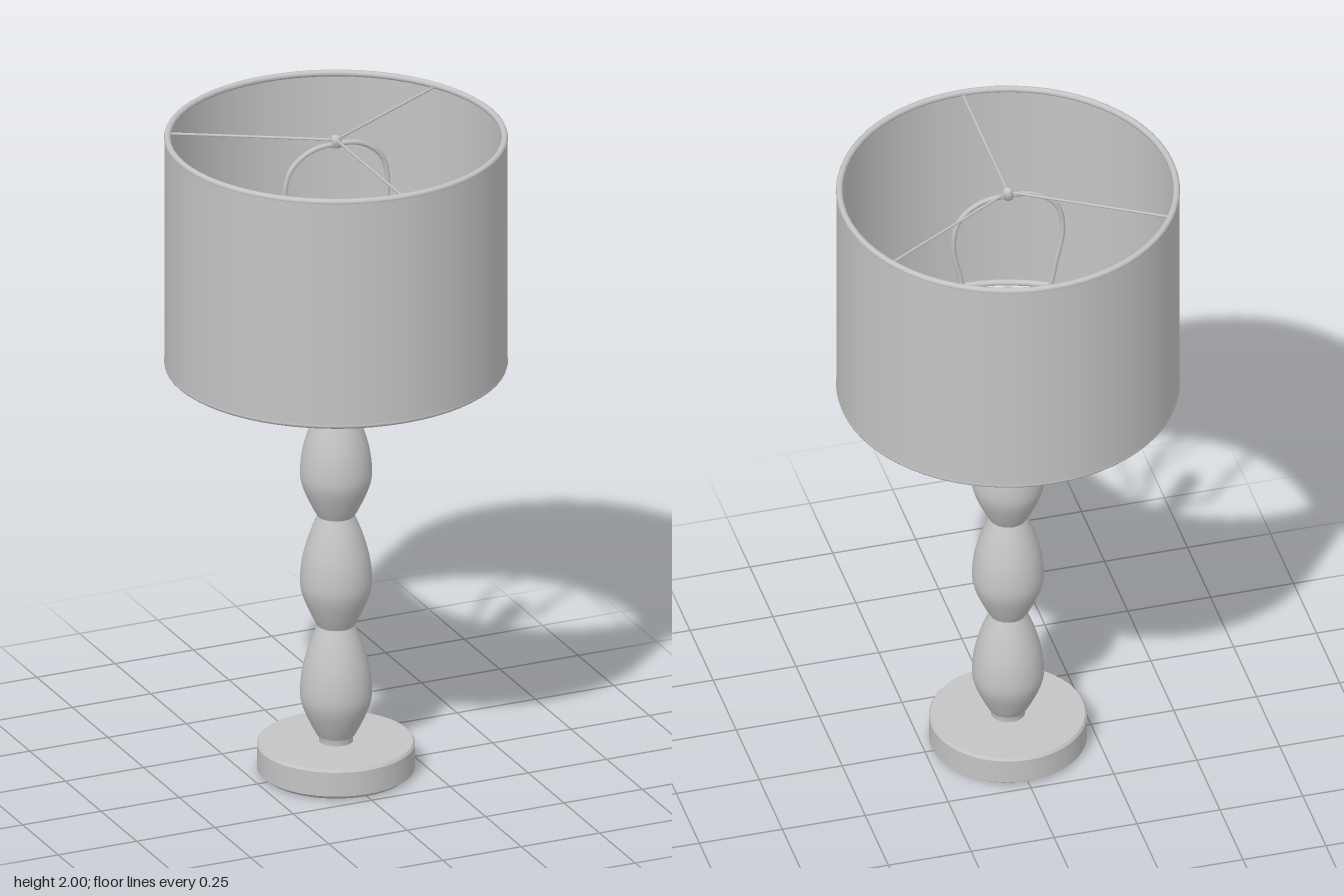
import * as THREE from 'three';

const metal = new THREE.MeshStandardMaterial({ color: 0xc4c4c4, side: THREE.DoubleSide });
metal.name = 'plain grey';

const SHADE_R = 0.49, SHADE_LOW = 1.288, SHADE_HIGH = 1.99;

function part(parent, name, geometry, x = 0, y = 0, z = 0) {
  const mesh = new THREE.Mesh(geometry, metal);
  mesh.name = name;
  mesh.position.set(x, y, z);
  parent.add(mesh);
  return mesh;
}

const lathe = (pts, segments = 48) =>
  new THREE.LatheGeometry(pts.map(([r, y]) => new THREE.Vector2(r, y)), segments);

// Straight wire between two points
const rod = (a, b, r) => new THREE.TubeGeometry(new THREE.LineCurve3(a, b), 1, r, 8);

// Hub with three spokes: one to the front, two to the back corners
function spider(name, y) {
  const g = new THREE.Group();
  g.name = name;
  for (let i = 0; i < 3; i++) {
    const a = (i * Math.PI * 2) / 3;
    const end = new THREE.Vector3(Math.sin(a) * 0.485, 0, Math.cos(a) * 0.485);
    part(g, 'spoke', rod(new THREE.Vector3(), end, 0.004));
  }
  g.position.y = y;
  return g;
}

export function createModel() {
  const lamp = new THREE.Group();
  lamp.name = 'tableLamp';

  // Round foot, built as flat faces with small bevels
  part(lamp, 'footSide', new THREE.CylinderGeometry(0.23, 0.23, 0.075, 48, 1, true), 0, 0.0495);
  part(lamp, 'footTopBevel', new THREE.CylinderGeometry(0.224, 0.23, 0.008, 48, 1, true), 0, 0.091);
  part(lamp, 'footBottomBevel', new THREE.CylinderGeometry(0.23, 0.215, 0.012, 48, 1, true), 0, 0.006);
  part(lamp, 'footTop', new THREE.CircleGeometry(0.224, 48), 0, 0.095).rotation.x = -Math.PI / 2;
  part(lamp, 'footBottom', new THREE.CircleGeometry(0.215, 48), 0, 0).rotation.x = Math.PI / 2;

  // Collar under the column
  part(lamp, 'lowerCollar', lathe([[0.05, 0.09], [0.05, 0.115], [0.058, 0.125]]));

  // Three stacked teardrop bulbs, fuller near the bottom
  const bulbs = [[0.115, 0.46, 0.25], [0.46, 0.805, 0.6], [0.805, 1.14, 0.94]];
  bulbs.forEach(([low, high, wide]) => {
    const curve = new THREE.SplineCurve([
      [0.055, low], [0.073, low + (wide - low) * 0.25], [0.097, low + (wide - low) * 0.66],
      [0.105, wide], [0.098, wide + (high - wide) * 0.35],
      [0.078, wide + (high - wide) * 0.7], [0.054, high],
    ].map(([r, y]) => new THREE.Vector2(r, y)));
    part(lamp, 'columnBulb', new THREE.LatheGeometry(curve.getPoints(28), 48));
  });

  // Cap on the column, then the stem and socket
  part(lamp, 'upperCollar', lathe([
    [0.05, 1.135], [0.055, 1.14], [0.055, 1.149], [0.05, 1.153],
    [0.036, 1.155], [0.036, 1.165], [0.028, 1.168],
  ]));
  part(lamp, 'stem', new THREE.CylinderGeometry(0.028, 0.028, 0.46, 24), 0, 1.39);
  part(lamp, 'stemRing', new THREE.CylinderGeometry(0.038, 0.038, 0.018, 24), 0, SHADE_LOW);

  // Drum shade with rolled rims
  const h = SHADE_HIGH - SHADE_LOW;
  part(lamp, 'shadeOuter', new THREE.CylinderGeometry(0.499, 0.499, h, 64, 1, true), 0, SHADE_LOW + h / 2);
  part(lamp, 'shadeInner', new THREE.CylinderGeometry(0.491, 0.491, h, 64, 1, true), 0, SHADE_LOW + h / 2);
  for (const y of [SHADE_LOW, SHADE_HIGH]) {
    part(lamp, 'shadeRim', new THREE.TorusGeometry(SHADE_R, 0.01, 10, 64), 0, y).rotation.x = Math.PI / 2;
  }
  lamp.add(spider('lowerSpider', SHADE_LOW), spider('upperSpider', 1.983));

  // Wire harp around the socket, with its saddle bar
  const side = [[0.115, 1.46], [0.118, 1.55], [0.14, 1.68], [0.165, 1.82], [0.145, 1.91], [0.08, 1.96]];
  const path = [
    ...side.map(([x, y]) => new THREE.Vector3(-x, y, 0)),
    new THREE.Vector3(0, 1.97, 0),
    ...side.slice().reverse().map(([x, y]) => new THREE.Vector3(x, y, 0)),
  ];
  part(lamp, 'harp', new THREE.TubeGeometry(new THREE.CatmullRomCurve3(path), 72, 0.008, 8));
  part(lamp, 'harpSaddle', rod(new THREE.Vector3(-0.12, 1.46, 0), new THREE.Vector3(0.12, 1.46, 0), 0.008));

  // Finial knob holding the shade
  part(lamp, 'finial', lathe([[0, 1.96], [0.016, 1.962], [0.016, 1.985], [0.012, 1.996], [0, 1.999]], 20));

  return lamp;
}
